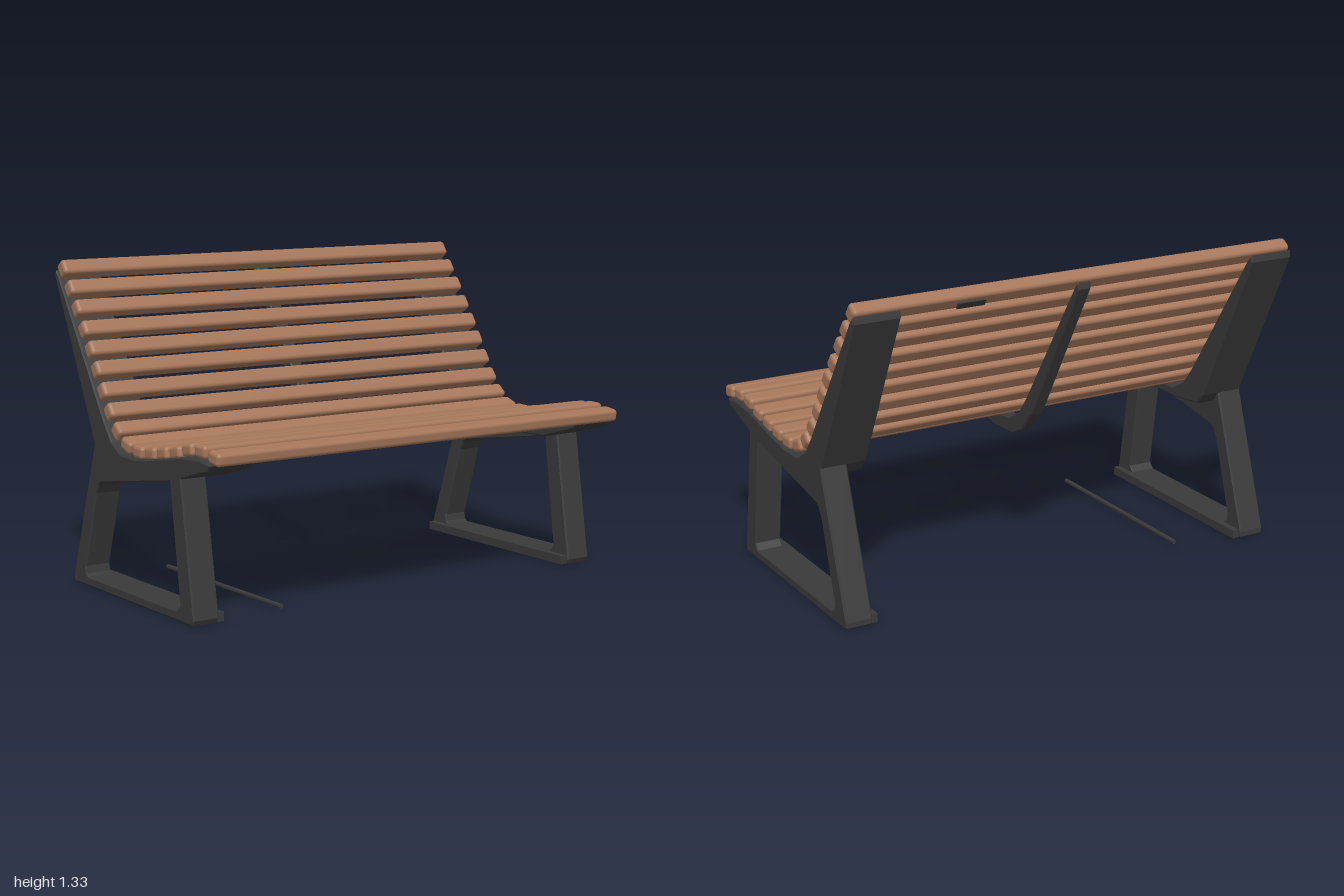
import * as THREE from 'three';
import { RoundedBoxGeometry } from 'three/addons/geometries/RoundedBoxGeometry.js';

const wood = new THREE.MeshStandardMaterial({ name: 'warm wood', color: 0xa5765a });
const metal = new THREE.MeshStandardMaterial({ name: 'dark metal', color: 0x3a3a3a });

// All profiles are [z, y] points.
// Slat centres, from the front of the seat to the top of the back
const slats = [
  [0.592, 0.666], [0.497, 0.68], [0.402, 0.673], [0.311, 0.65], [0.213, 0.634], [0.121, 0.62],
  [0.026, 0.613], [-0.069, 0.627], [-0.146, 0.673], [-0.206, 0.743], [-0.258, 0.821],
  [-0.308, 0.902], [-0.357, 0.979], [-0.41, 1.056], [-0.466, 1.137], [-0.522, 1.214], [-0.578, 1.292],
];

// Curve the slats rest on, front to top
const rest = [
  [0.59, 0.638], [0.5, 0.65], [0.37, 0.642], [0.16, 0.605], [0.02, 0.585], [-0.09, 0.588],
  [-0.165, 0.63], [-0.225, 0.708], [-0.59, 1.265], [-0.615, 1.288], [-0.621, 1.26],
];

// Closed outline of a side frame, and its opening
const frameOutline = [
  ...rest, [-0.307, 0.606], [-0.502, 0.03], [-0.502, 0.008], [-0.49, 0], [0.445, 0], [0.455, 0.02],
  [0.37, 0.557], [0.56, 0.61],
];
const frameOpening = [
  [0.287, 0.536], [-0.255, 0.45], [-0.278, 0.435], [-0.3, 0.4], [-0.4, 0.08], [-0.395, 0.05],
  [-0.375, 0.04], [0.33, 0.04], [0.353, 0.065],
];
// Wide support under the slats, inside each side frame
const supportOutline = [...rest, [-0.307, 0.606], [-0.27, 0.56], [-0.1, 0.545], [0.375, 0.557], [0.56, 0.61]];
// Slim rib in the middle
const ribOutline = [
  ...rest.slice(1), [-0.27, 0.65], [-0.19, 0.56], [-0.12, 0.525], [0.02, 0.52], [0.2, 0.55], [0.48, 0.61],
];

const toVectors = (points) => points.map(([z, y]) => new THREE.Vector2(z, y));

// Extrude a [z, y] profile sideways between two x positions
function profileMesh(name, outline, xMin, xMax, opening) {
  const shape = new THREE.Shape(toVectors(outline));
  if (opening) shape.holes.push(new THREE.Path(toVectors(opening)));
  const bevel = 0.006;
  const geometry = new THREE.ExtrudeGeometry(shape, {
    depth: xMax - xMin - 2 * bevel, bevelEnabled: true, bevelSize: bevel,
    bevelThickness: bevel, bevelOffset: -bevel, bevelSegments: 1,
  });
  geometry.rotateY(-Math.PI / 2);
  geometry.translate(xMax - bevel, 0, 0);
  const mesh = new THREE.Mesh(geometry, metal);
  mesh.name = name;
  return mesh;
}

function boxMesh(name, size, position) {
  const mesh = new THREE.Mesh(new THREE.BoxGeometry(...size), metal);
  mesh.name = name;
  mesh.position.set(...position);
  return mesh;
}

export function createModel() {
  const bench = new THREE.Group();
  bench.name = 'bench';

  // Slats follow the seat curve, each turned along it
  const seatSlat = new RoundedBoxGeometry(1.99, 0.052, 0.076, 3, 0.016);
  const backSlat = new RoundedBoxGeometry(1.99, 0.06, 0.068, 3, 0.016);
  slats.forEach(([z, y], i) => {
    const before = slats[Math.max(i - 1, 0)];
    const after = slats[Math.min(i + 1, slats.length - 1)];
    const inSeat = i < 8;
    const slat = new THREE.Mesh(inSeat ? seatSlat : backSlat, wood);
    slat.name = inSeat ? 'seatSlat' : 'backSlat';
    slat.position.set(0, y, z);
    // local -z runs from the front edge towards the top of the back
    slat.rotation.x = Math.atan2(after[1] - before[1], before[0] - after[0]);
    bench.add(slat);
  });

  // Side frames: leg loop, wide support and foot rail
  for (const [side, s] of [['left', 1], ['right', -1]]) {
    const span = (inner, outer) => (s > 0 ? [inner, outer] : [-outer, -inner]);
    const frame = new THREE.Group();
    frame.name = side + 'Frame';
    frame.add(profileMesh('legLoop', frameOutline, ...span(0.885, 1), frameOpening));
    frame.add(profileMesh('slatSupport', supportOutline, ...span(0.8, 0.9)));
    frame.add(boxMesh('footRail', [0.06, 0.036, 0.93], [s * 0.886, 0.019, -0.022]));
    bench.add(frame);
  }

  // Middle rib, loose floor rod and a small plate behind the top slat
  bench.add(profileMesh('middleRib', ribOutline, -0.03, 0.03));
  const rod = new THREE.Mesh(new THREE.CylinderGeometry(0.01, 0.01, 0.87, 8), metal);
  rod.name = 'floorRod';
  rod.rotation.x = Math.PI / 2;
  rod.position.set(-0.59, 0.02, 0.005);
  bench.add(rod);
  const plate = boxMesh('backPlate', [0.12, 0.03, 0.008], [0.5, 1.27, -0.612]);
  plate.rotation.x = -0.6;
  bench.add(plate);

  return bench;
}
